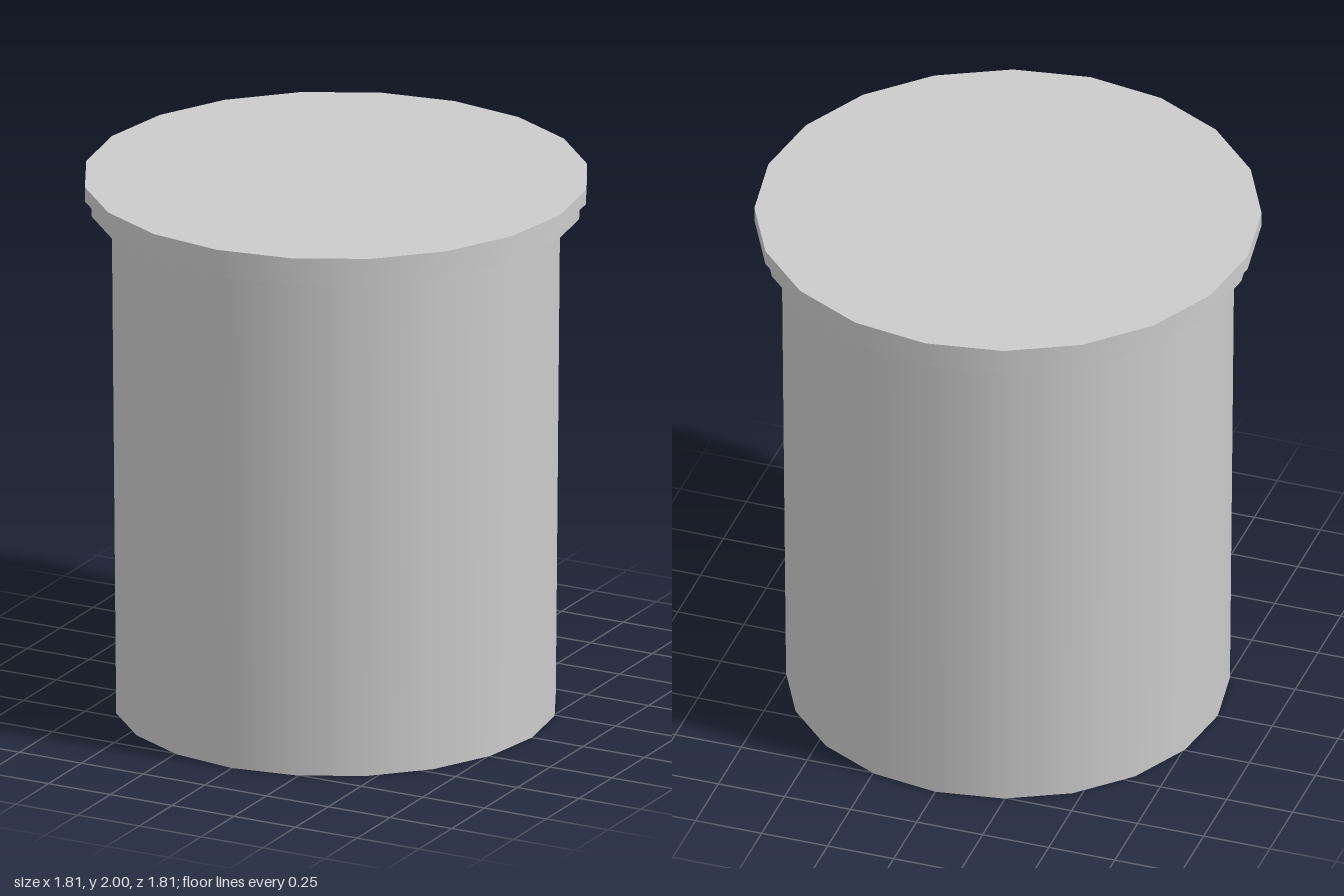
import * as THREE from 'three';

const SIDES = 20;
const material = new THREE.MeshStandardMaterial({ color: 0xcccccc });

// Capped, smooth-sided cylinder spanning two heights
function drum(name, bottomRadius, topRadius, y0, y1) {
  const geometry = new THREE.CylinderGeometry(topRadius, bottomRadius, y1 - y0, SIDES);
  const mesh = new THREE.Mesh(geometry, material);
  mesh.name = name;
  mesh.position.y = (y0 + y1) / 2;
  return mesh;
}

export function createModel() {
  const model = new THREE.Group();
  model.name = 'liddedContainer';
  model.add(
    drum('body', 0.794, 0.81, 0, 1.888), // slightly tapered tub
    drum('rim', 0.883, 0.883, 1.888, 1.946), // collar under the lid
    drum('lid', 0.907, 0.907, 1.946, 2), // flat cover
  );
  return model;
}
